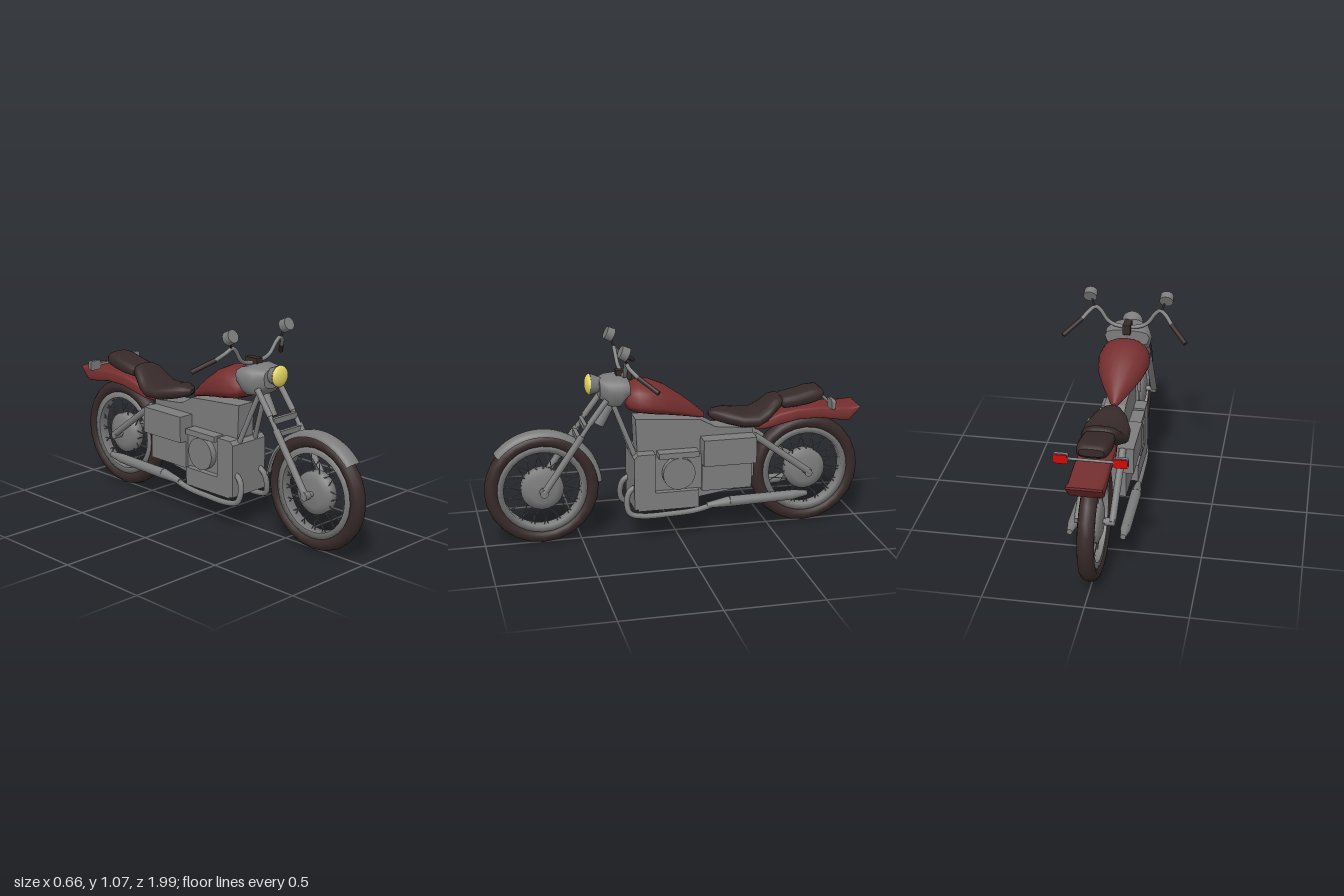
import * as THREE from 'three';

const mat = (name, color, extra = {}) => {
  const m = new THREE.MeshStandardMaterial({ color, ...extra });
  m.name = name;
  return m;
};
const V = (p) => new THREE.Vector3(...p);

export function createModel() {
  const metal = mat('grey metal', 0x7c7c7c);
  const shell = mat('grey shell', 0x7c7c7c, { side: THREE.DoubleSide });
  const paint = mat('dark red paint', 0x752e2e);
  const black = mat('black rubber and leather', 0x372929);
  const yellow = mat('yellow lens', 0xe2d464);
  const red = mat('red lens', 0xd00808);
  const root = new THREE.Group();

  const add = (name, geo, m, pos = [0, 0, 0], parent = root) => {
    const mesh = new THREE.Mesh(geo, m);
    mesh.name = name;
    mesh.position.set(...pos);
    parent.add(mesh);
    return mesh;
  };
  const box = (name, x0, x1, y0, y1, z0, z1, m = metal) =>
    add(name, new THREE.BoxGeometry(x1 - x0, y1 - y0, z1 - z0), m, [(x0 + x1) / 2, (y0 + y1) / 2, (z0 + z1) / 2]);
  // straight round bar between two points
  const rod = (name, a, b, r0, m = metal, r1 = r0, parent = root, sides = 12) => {
    const A = V(a), B = V(b), d = B.clone().sub(A);
    const mesh = add(name, new THREE.CylinderGeometry(r1, r0, d.length(), sides), m, A.clone().add(B).multiplyScalar(0.5).toArray(), parent);
    mesh.quaternion.setFromUnitVectors(new THREE.Vector3(0, 1, 0), d.normalize());
    return mesh;
  };
  const tube = (name, pts, r, m = metal) =>
    add(name, new THREE.TubeGeometry(new THREE.CatmullRomCurve3(pts.map(V)), 36, r, 10), m);
  // lathe turned so its axis runs along x; profile points are [radius, x]
  const lathe = (pts, seg = 32, start = 0, len = Math.PI * 2) =>
    new THREE.LatheGeometry(pts.map((p) => new THREE.Vector2(...p)), seg, start, len).rotateZ(-Math.PI / 2);
  // rows run front to back: [z, bottom, top, half width]; sag lowers the widest line
  const loft = (rows, power = 2, sag = 0, n = 20) => {
    const pos = [], idx = [];
    const ring = ([z, b, t, w]) => {
      for (let j = 0; j < n; j++) {
        const a = (j / n) * Math.PI * 2, c = Math.cos(a), s = Math.sin(a);
        const f = (v) => Math.sign(v) * Math.abs(v) ** (2 / power);
        const h = (t - b) / 2, mid = b + h * (1 - sag);
        pos.push(w * f(c), mid + f(s) * (s > 0 ? t - mid : mid - b), z);
      }
    };
    rows.forEach(ring);
    for (let i = 0; i < rows.length - 1; i++) for (let j = 0; j < n; j++) {
      const k = (j + 1) % n, a = i * n + j, c = i * n + k;
      idx.push(a, a + n, c, a + n, c + n, c);
    }
    [rows[0], rows[rows.length - 1]].forEach((row, e) => {
      const base = pos.length / 3;
      ring(row);
      pos.push(0, (row[1] + row[2]) / 2, row[0]);
      for (let j = 0; j < n; j++) {
        const k = (j + 1) % n;
        idx.push(base + n, base + (e ? k : j), base + (e ? j : k));
      }
    });
    const g = new THREE.BufferGeometry();
    g.setAttribute('position', new THREE.Float32BufferAttribute(pos, 3));
    g.setIndex(idx);
    g.computeVertexNormals();
    return g;
  };

  // wheels
  for (const [label, z] of [['front', 0.7], ['rear', -0.7]]) {
    const wheel = new THREE.Group();
    wheel.name = label + 'Wheel';
    wheel.position.set(0, 0.3, z);
    root.add(wheel);
    add('tyre', new THREE.TorusGeometry(0.259, 0.037, 12, 24).rotateY(Math.PI / 2).scale(1.13, 1, 1), black, [0, 0, 0], wheel);
    add('rim', lathe([[0.2, -0.03], [0.231, -0.03], [0.231, 0.03], [0.2, 0.03], [0.2, -0.03]]), metal, [0, 0, 0], wheel);
    add('hub', lathe([[0, -0.042], [0.07, -0.037], [0.11, -0.022], [0.11, 0.022], [0.07, 0.037], [0, 0.042]], 24), metal, [0, 0, 0], wheel);
    for (let i = 0; i < 36; i++) {
      const a = (i / 36) * Math.PI * 2, b = a + (i % 2 ? 0.32 : -0.32), x = i % 4 < 2 ? 0.02 : -0.02;
      rod('spoke', [x, 0.1 * Math.sin(a), 0.1 * Math.cos(a)], [0, 0.205 * Math.sin(b), 0.205 * Math.cos(b)], 0.0025, metal, 0.0025, wheel, 5);
    }
    rod('axle', [-0.095, 0, 0], [0.095, 0, 0], 0.014, metal, 0.014, wheel);
  }

  // front mudguard, a curved shell over the tyre
  const guard = [[0.285, -0.045], [0.3, -0.041], [0.309, -0.024], [0.312, 0], [0.309, 0.024], [0.3, 0.041], [0.285, 0.045]];
  add('frontMudguard', lathe(guard, 28, -3.06, 2.36), shell, [0, 0.3, 0.7]);

  // fuel tank
  add('fuelTank', loft([[0.272, 0.73, 0.785, 0.07], [0.255, 0.7, 0.82, 0.108], [0.21, 0.682, 0.842, 0.13], [0.14, 0.67, 0.845, 0.135],
    [0.06, 0.66, 0.81, 0.118], [-0.02, 0.645, 0.755, 0.083], [-0.09, 0.63, 0.7, 0.045], [-0.15, 0.618, 0.645, 0.01]], 2.1, 0.35), paint);

  // saddle and rear pad
  add('saddle', loft([[-0.175, 0.625, 0.645, 0.012], [-0.2, 0.605, 0.663, 0.045], [-0.26, 0.585, 0.665, 0.085], [-0.34, 0.566, 0.65, 0.115],
    [-0.42, 0.563, 0.65, 0.12], [-0.47, 0.585, 0.68, 0.11], [-0.51, 0.62, 0.717, 0.095], [-0.545, 0.65, 0.725, 0.078], [-0.56, 0.675, 0.71, 0.055]], 2.5), black);
  add('rearPad', loft([[-0.55, 0.665, 0.7, 0.06], [-0.57, 0.65, 0.72, 0.078], [-0.64, 0.655, 0.733, 0.082], [-0.71, 0.665, 0.752, 0.08],
    [-0.76, 0.68, 0.755, 0.076], [-0.78, 0.7, 0.74, 0.06]], 3), black);

  // rear mudguard with flared tail
  add('rearMudguard', loft([[-0.42, 0.545, 0.565, 0.05], [-0.48, 0.55, 0.605, 0.07], [-0.55, 0.57, 0.637, 0.08], [-0.64, 0.59, 0.655, 0.085],
    [-0.76, 0.592, 0.657, 0.087], [-0.86, 0.575, 0.65, 0.088], [-0.92, 0.568, 0.648, 0.088], [-0.975, 0.635, 0.648, 0.088]], 5, 0.2), paint);

  // central frame slab
  const side = new THREE.Shape([[0.22, 0.65], [-0.12, 0.625], [-0.2, 0.58], [-0.4, 0.56], [-0.41, 0.3], [-0.37, 0.24], [-0.1, 0.2], [0.2, 0.18]]
    .map(([z, y]) => new THREE.Vector2(-z, y)));
  add('frameSlab', new THREE.ExtrudeGeometry(side, { depth: 0.11, bevelEnabled: false }).translate(0, 0, -0.055).rotateY(Math.PI / 2), metal);

  // engine and side boxes
  const engineFront = new THREE.Shape([[-0.24, 0.18], [-0.24, 0.455], [-0.22, 0.475], [-0.13, 0.475], [-0.13, 0.18]].map((p) => new THREE.Vector2(...p)));
  add('engineFront', new THREE.ExtrudeGeometry(engineFront, { depth: 0.236, bevelEnabled: false }).translate(0, 0, -0.118).rotateY(Math.PI / 2), metal);
  box('crankcase', -0.118, 0.118, 0.17, 0.265, -0.1, 0.22);
  box('cylinderTop', -0.12, 0.12, 0.445, 0.475, -0.1, 0.11);
  box('cylinderCore', -0.085, 0.085, 0.26, 0.45, -0.12, 0.14);
  rod('cylinderBarrel', [-0.12, 0.36, 0.005], [0.12, 0.36, 0.005], 0.085, metal, 0.085, root, 20);
  box('sideBox', -0.14, 0.14, 0.395, 0.535, -0.4, -0.12);
  box('lowerSideBox', -0.1, 0.1, 0.25, 0.4, -0.385, -0.12);

  // headlamp cowl and lamp
  add('headlampCowl', loft([[0.4, 0.765, 0.865, 0.065], [0.36, 0.725, 0.875, 0.108], [0.3, 0.72, 0.878, 0.126], [0.255, 0.775, 0.865, 0.118]], 2.8, -0.2, 12), metal);
  rod('headlampHousing', [0, 0.83, 0.37], [0, 0.835, 0.445], 0.03, metal, 0.056, root, 20);
  const lens = add('headlampLens', new THREE.SphereGeometry(0.055, 20, 8, 0, Math.PI * 2, 0, Math.PI / 2), yellow, [0, 0.835, 0.443]);
  lens.rotation.x = Math.PI / 2;
  lens.scale.y = 0.5;
  box('barClamp', -0.02, 0.02, 0.85, 0.902, 0.23, 0.31, black);

  // fork bridges, signal bar and steering neck
  box('upperForkBridge', -0.085, 0.085, 0.615, 0.645, 0.47, 0.49);
  box('lowerForkBridge', -0.085, 0.085, 0.56, 0.585, 0.505, 0.525);
  rod('steeringNeck', [0, 0.62, 0.4], [0, 0.86, 0.27], 0.028);
  rod('signalBar', [-0.12, 0.69, -0.795], [0.12, 0.69, -0.795], 0.007);
  tube('handlebar', [[-0.235, 0.922, 0.24], [-0.2, 0.957, 0.275], [-0.17, 0.977, 0.285], [-0.145, 0.96, 0.285], [-0.105, 0.905, 0.28], [-0.06, 0.883, 0.275],
    [0.06, 0.883, 0.275], [0.105, 0.905, 0.28], [0.145, 0.96, 0.285], [0.17, 0.977, 0.285], [0.2, 0.957, 0.275], [0.235, 0.922, 0.24]], 0.0105);

  // paired parts
  for (const s of [1, -1]) {
    rod('forkLower', [s * 0.085, 0.3, 0.7], [s * 0.083, 0.59, 0.5], 0.018);
    rod('forkMiddle', [s * 0.083, 0.58, 0.507], [s * 0.082, 0.7, 0.425], 0.012);
    rod('forkUpper', [s * 0.082, 0.65, 0.46], [s * 0.08, 0.77, 0.37], 0.016);
    rod('axleCap', [s * 0.065, 0.3, 0.7], [s * 0.1, 0.3, 0.7], 0.022);
    rod('downTube', [s * 0.022, 0.72, 0.325], [s * 0.06, 0.44, 0.22], 0.013);
    rod('handGrip', [s * 0.235, 0.922, 0.24], [s * 0.32, 0.86, 0.155], 0.012, black);
    rod('mirrorStem', [s * 0.177, 0.975, 0.285], [s * 0.195, 1.03, 0.3], 0.005, black);
    rod('mirror', [s * 0.2, 1.03, 0.285], [s * 0.2, 1.048, 0.322], 0.036, metal, 0.034, root, 16);
    rod('rearStrut', [s * 0.085, 0.53, -0.4], [s * 0.085, 0.3, -0.71], 0.018);
    rod('rearAxleCap', [s * 0.05, 0.3, -0.7], [s * 0.1, 0.3, -0.7], 0.02);
    tube('exhaustPipe', [[s * 0.085, 0.3, 0.22], [s * 0.088, 0.275, 0.26], [s * 0.095, 0.22, 0.277], [s * 0.105, 0.16, 0.262], [s * 0.112, 0.143, 0.2],
      [s * 0.118, 0.145, 0.05], [s * 0.122, 0.155, -0.08], [s * 0.128, 0.185, -0.19]], 0.015);
    rod('mufflerCone', [s * 0.126, 0.178, -0.14], [s * 0.13, 0.192, -0.26], 0.015, metal, 0.028);
    rod('muffler', [s * 0.13, 0.192, -0.26], [s * 0.132, 0.2, -0.6], 0.028, metal, 0.026);
    rod('mufflerTip', [s * 0.132, 0.2, -0.6], [s * 0.132, 0.205, -0.68], 0.026, metal, 0.014);
    // signal lamp with a red rear face
    const lamp = loft([[-0.787, 0.665, 0.717, 0.036], [-0.805, 0.665, 0.717, 0.036]], 6);
    add('signalLamp', lamp, metal, [s * 0.142, 0, 0]);
    add('signalLens', loft([[-0.805, 0.668, 0.714, 0.033], [-0.81, 0.668, 0.714, 0.033]], 6), red, [s * 0.142, 0, 0]);
  }
  return root;
}
